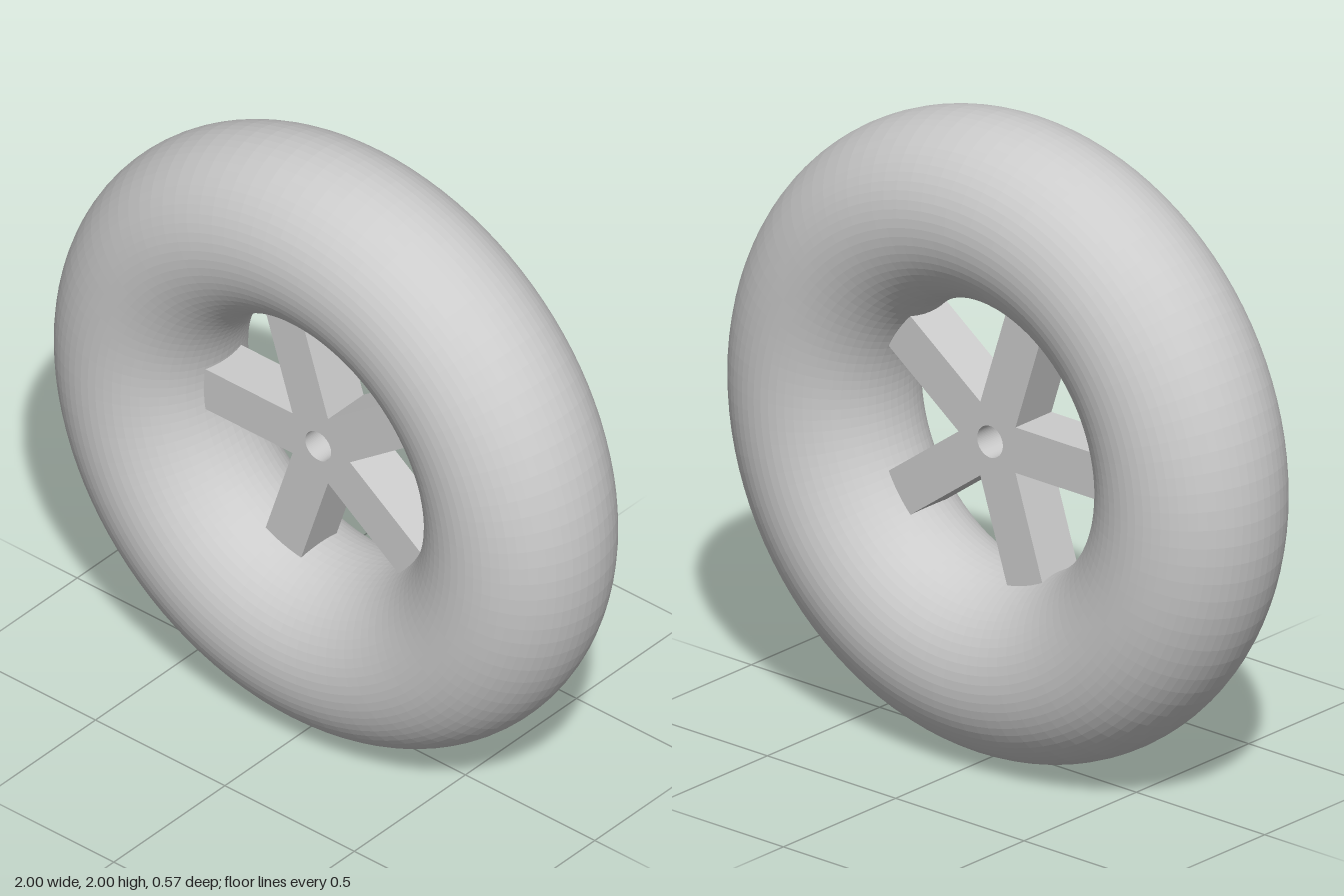
import * as THREE from 'three';

const RING = 0.715, TUBE = 0.285;
const SPOKES = 5, HALF_WIDTH = 0.072, REACH = 0.5, DEPTH = 0.16, BORE = 0.05;

// Star outline: five straight spokes meeting in valleys, with a round axle bore
function spokeShape() {
  const points = [];
  const valley = HALF_WIDTH / Math.sin(Math.PI / SPOKES);
  for (let i = 0; i < SPOKES; i++) {
    const a = Math.PI / SPOKES + (i * 2 * Math.PI) / SPOKES;
    const dir = new THREE.Vector2(Math.cos(a), Math.sin(a));
    const side = new THREE.Vector2(-dir.y, dir.x);
    const v = a - Math.PI / SPOKES;
    points.push(new THREE.Vector2(valley * Math.cos(v), valley * Math.sin(v)));
    for (const s of [-1, 1]) {
      points.push(dir.clone().multiplyScalar(REACH).addScaledVector(side, s * HALF_WIDTH));
    }
  }
  const shape = new THREE.Shape(points);
  shape.holes.push(new THREE.Path().absarc(0, 0, BORE, 0, Math.PI * 2, true));
  return shape;
}

export function createModel() {
  const wheel = new THREE.Group();
  wheel.name = 'wheel';
  const material = new THREE.MeshStandardMaterial({ color: 0xcccccc, flatShading: true });

  // Fat round tyre standing on the ground
  const tyre = new THREE.Mesh(new THREE.TorusGeometry(RING, TUBE, 64, 100), material);
  tyre.name = 'tyre';

  // Spokes run into the tyre so their ends are buried
  const geometry = new THREE.ExtrudeGeometry(spokeShape(), {
    depth: DEPTH, bevelEnabled: false, curveSegments: 32,
  });
  geometry.translate(0, 0, -DEPTH / 2);
  const spokes = new THREE.Mesh(geometry, material);
  spokes.name = 'spokes';

  wheel.add(tyre, spokes);
  wheel.position.y = RING + TUBE;

  const model = new THREE.Group();
  model.add(wheel);
  return model;
}
